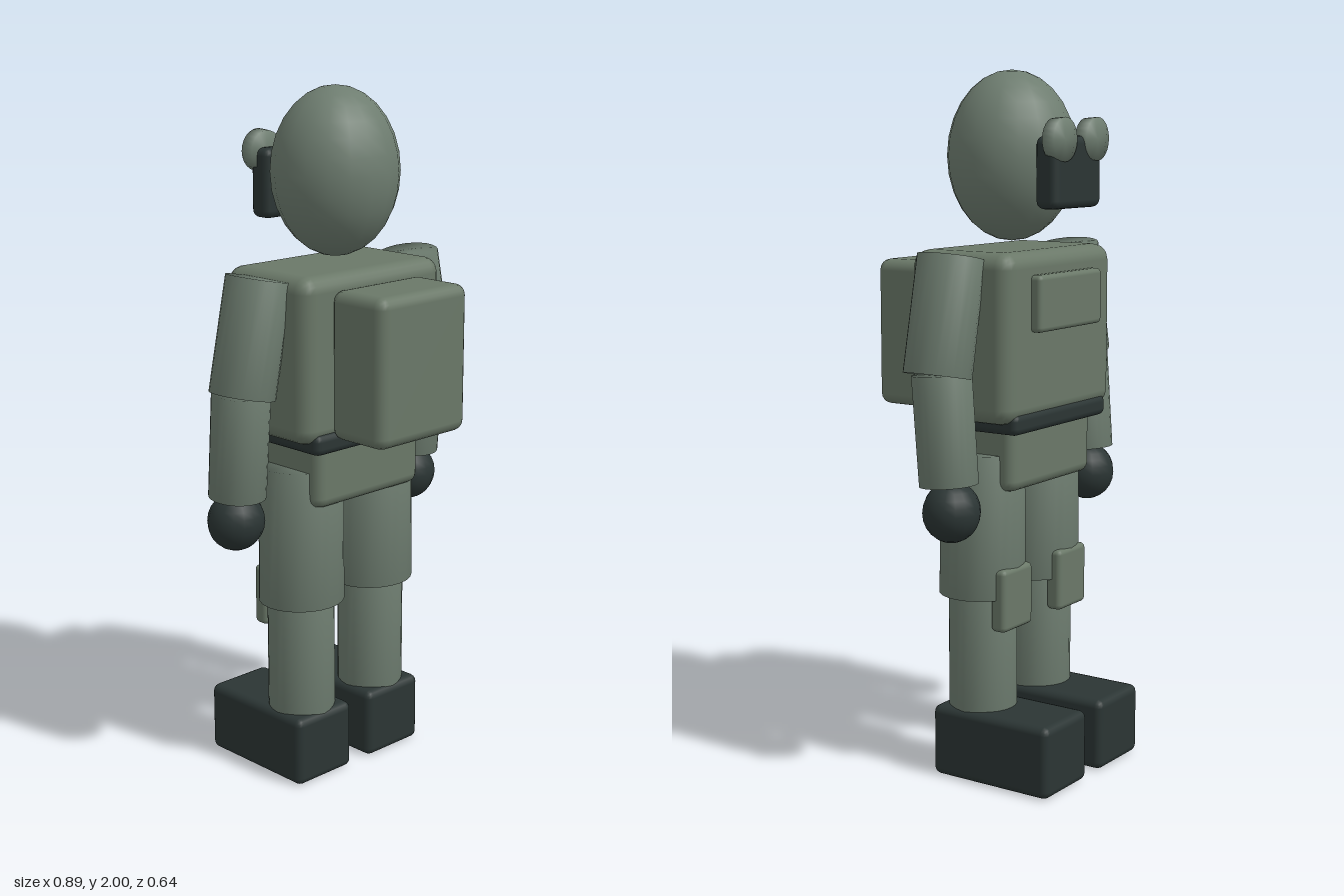
import * as THREE from 'three';
import { mergeVertices } from 'three/addons/utils/BufferGeometryUtils.js';
import { RoundedBoxGeometry } from 'three/addons/geometries/RoundedBoxGeometry.js';

export function createModel() {
  const model = new THREE.Group();
  model.name = 'soldier';

  const material = (name, color) => new THREE.MeshStandardMaterial({ name, color });
  const cloth = material('grey green cloth', 0x6e7d70);
  const gear = material('olive gear', 0x6a7868);
  const dark = material('dark rubber', 0x2b3534);

  const add = (name, geometry, mat) => {
    const mesh = new THREE.Mesh(geometry, mat);
    mesh.name = name;
    model.add(mesh);
    return mesh;
  };

  // Rounded box given by its min and max corners
  const box = (name, mat, min, max, radius) => {
    const size = max.map((v, i) => v - min[i]);
    const mesh = add(name, new RoundedBoxGeometry(...size, 2, radius), mat);
    mesh.position.set(...min.map((v, i) => (v + max[i]) / 2));
    return mesh;
  };

  const ellipsoid = (name, mat, centre, radii, w = 18, h = 14) => {
    const mesh = add(name, new THREE.SphereGeometry(1, w, h).scale(...radii), mat);
    mesh.position.set(...centre);
    return mesh;
  };

  // Capped tube between two points, with normals blended softly over the rims
  const limb = (name, mat, from, to, rTop, rBottom, zScale = 1) => {
    const a = new THREE.Vector3(...from);
    const b = new THREE.Vector3(...to);
    let geometry = new THREE.CylinderGeometry(rTop, rBottom, a.distanceTo(b), 24);
    geometry.deleteAttribute('uv');
    geometry.deleteAttribute('normal');
    geometry = mergeVertices(geometry.scale(1, 1, zScale), 1e-4);
    geometry.computeVertexNormals();
    const mesh = add(name, geometry, mat);
    mesh.position.copy(a).add(b).multiplyScalar(0.5);
    mesh.quaternion.setFromUnitVectors(new THREE.Vector3(0, 1, 0), a.sub(b).normalize());
    return mesh;
  };

  // Head and goggles
  ellipsoid('head', cloth, [0, 1.763, -0.033], [0.184, 0.237, 0.182]);
  box('goggles', dark, [-0.12, 1.622, -0.258], [0.12, 1.82, -0.185], 0.022);

  // Trunk and worn gear
  box('vest', gear, [-0.272, 1.04, -0.205], [0.272, 1.51, 0.13], 0.045);
  box('chestPouch', gear, [-0.16, 1.29, -0.237], [0.16, 1.447, -0.195], 0.014);
  box('backpack', gear, [-0.173, 1.05, 0.12], [0.173, 1.47, 0.32], 0.032);
  box('belt', dark, [-0.236, 1.012, -0.208], [0.236, 1.072, 0.138], 0.02);
  box('pelvis', gear, [-0.205, 0.845, -0.176], [0.205, 1.04, 0.11], 0.03);

  for (const [side, s] of [['left', 1], ['right', -1]]) {
    // Lens
    limb(side + 'Lens', cloth, [s * 0.083, 1.81, -0.264], [s * 0.083, 1.81, -0.225], 0.06, 0.057);

    // Arm
    limb(side + 'UpperArm', cloth, [s * 0.292, 1.498, -0.033], [s * 0.357, 1.18, -0.033], 0.088, 0.09, 1.08);
    limb(side + 'Forearm', cloth, [s * 0.352, 1.187, -0.043], [s * 0.352, 0.885, -0.066], 0.083, 0.082);
    ellipsoid(side + 'Hand', dark, [s * 0.351, 0.81, -0.074], [0.084, 0.085, 0.079], 16, 12);

    // Leg
    limb(side + 'Thigh', cloth, [s * 0.142, 0.947, -0.03], [s * 0.142, 0.537, -0.03], 0.124, 0.127, 0.96);
    limb(side + 'Shin', cloth, [s * 0.143, 0.6, -0.032], [s * 0.143, 0.16, -0.032], 0.098, 0.098);
    box(side + 'KneePad', gear, [s * 0.143 - 0.073, 0.445, -0.156], [s * 0.143 + 0.073, 0.625, -0.106], 0.015);
    box(side + 'Boot', dark, [s * 0.143 - 0.108, 0, -0.32], [s * 0.143 + 0.108, 0.207, 0.072], 0.022);
  }
  return model;
}
